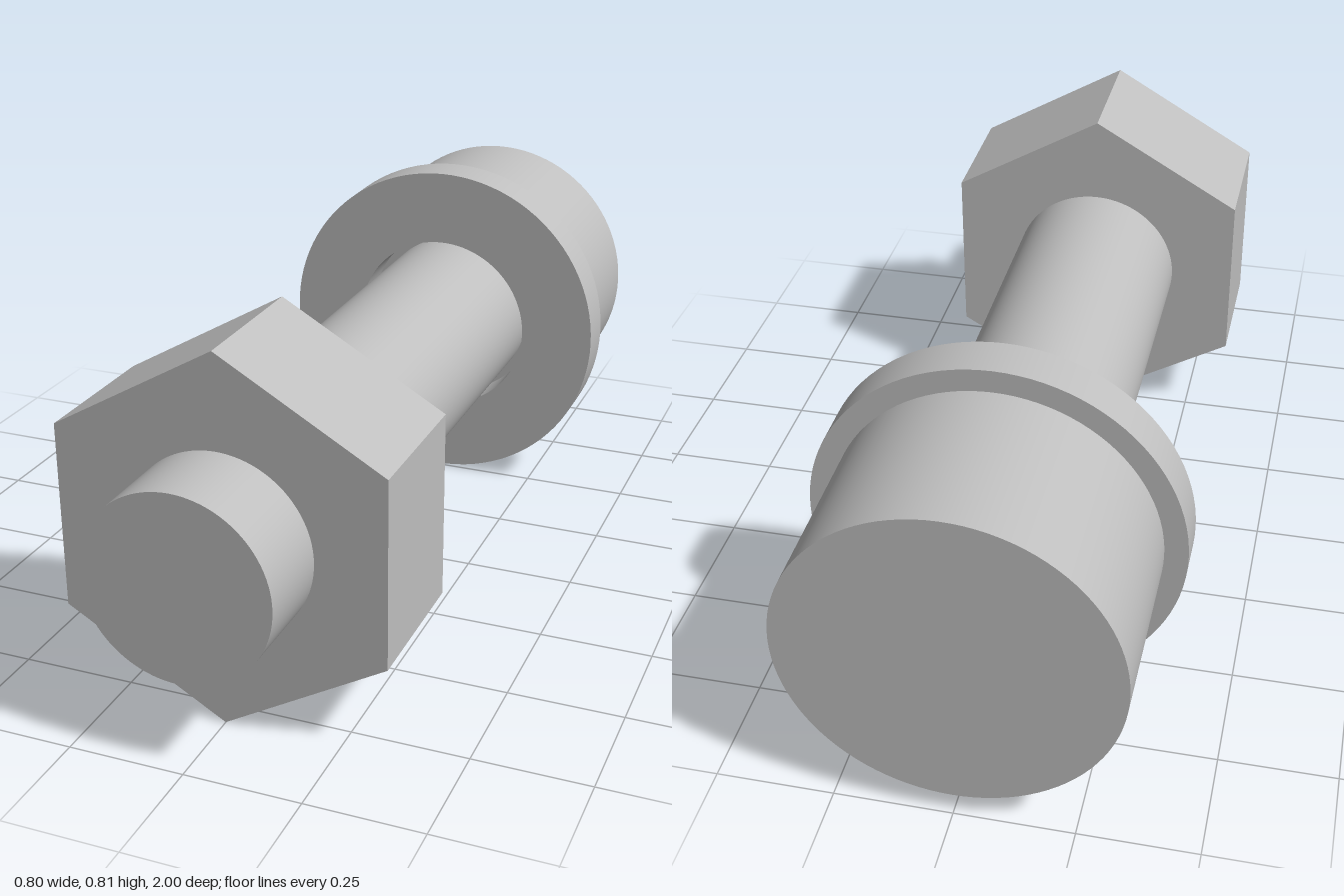
import * as THREE from 'three';

const AXIS_Y = 0.404;

export function createModel() {
  const group = new THREE.Group();
  const steel = new THREE.MeshStandardMaterial({ color: 0xbfbfbf });
  steel.name = 'steel grey';

  const add = (name, geometry) => {
    const mesh = new THREE.Mesh(geometry, steel);
    mesh.name = name;
    mesh.position.y = AXIS_Y;
    group.add(mesh);
  };

  // Solid round bar along z between two ends
  const rod = (radius, z0, z1) =>
    new THREE.CylinderGeometry(radius, radius, z1 - z0, 96)
      .rotateX(Math.PI / 2)
      .translate(0, 0, (z0 + z1) / 2);

  // Outline with a round bore, extruded along z
  const bored = (outline, bore, z0, z1) => {
    outline.holes.push(new THREE.Path().absarc(0, 0, bore, 0, Math.PI * 2, true));
    return new THREE.ExtrudeGeometry(outline, {
      depth: z1 - z0, bevelEnabled: false, curveSegments: 96,
    }).translate(0, 0, z0);
  };

  // Bolt: shaft and cylindrical head
  add('shaft', rod(0.2, -0.6, 1));
  add('head', rod(0.35, -1, -0.6));

  // Washer: lathed ring with sharp rims (each profile edge is its own strip)
  const ring = [[0.22, -0.6], [0.4, -0.6], [0.4, -0.5], [0.22, -0.5]];
  ring.forEach(([r, z], i) => {
    const [r2, z2] = ring[(i + 1) % ring.length];
    const strip = new THREE.LatheGeometry(
      [new THREE.Vector2(r, z), new THREE.Vector2(r2, z2)], 96).rotateX(Math.PI / 2);
    add(['washerBack', 'washerRim', 'washerFront', 'washerBore'][i], strip);
  });

  // Hexagonal nut with a corner at the top
  const corners = Array.from({ length: 6 }, (_, i) => {
    const a = Math.PI / 2 + i * Math.PI / 3;
    return new THREE.Vector2(AXIS_Y * Math.cos(a), AXIS_Y * Math.sin(a));
  });
  add('nut', bored(new THREE.Shape(corners), 0.199, 0.49, 0.81));

  return group;
}
